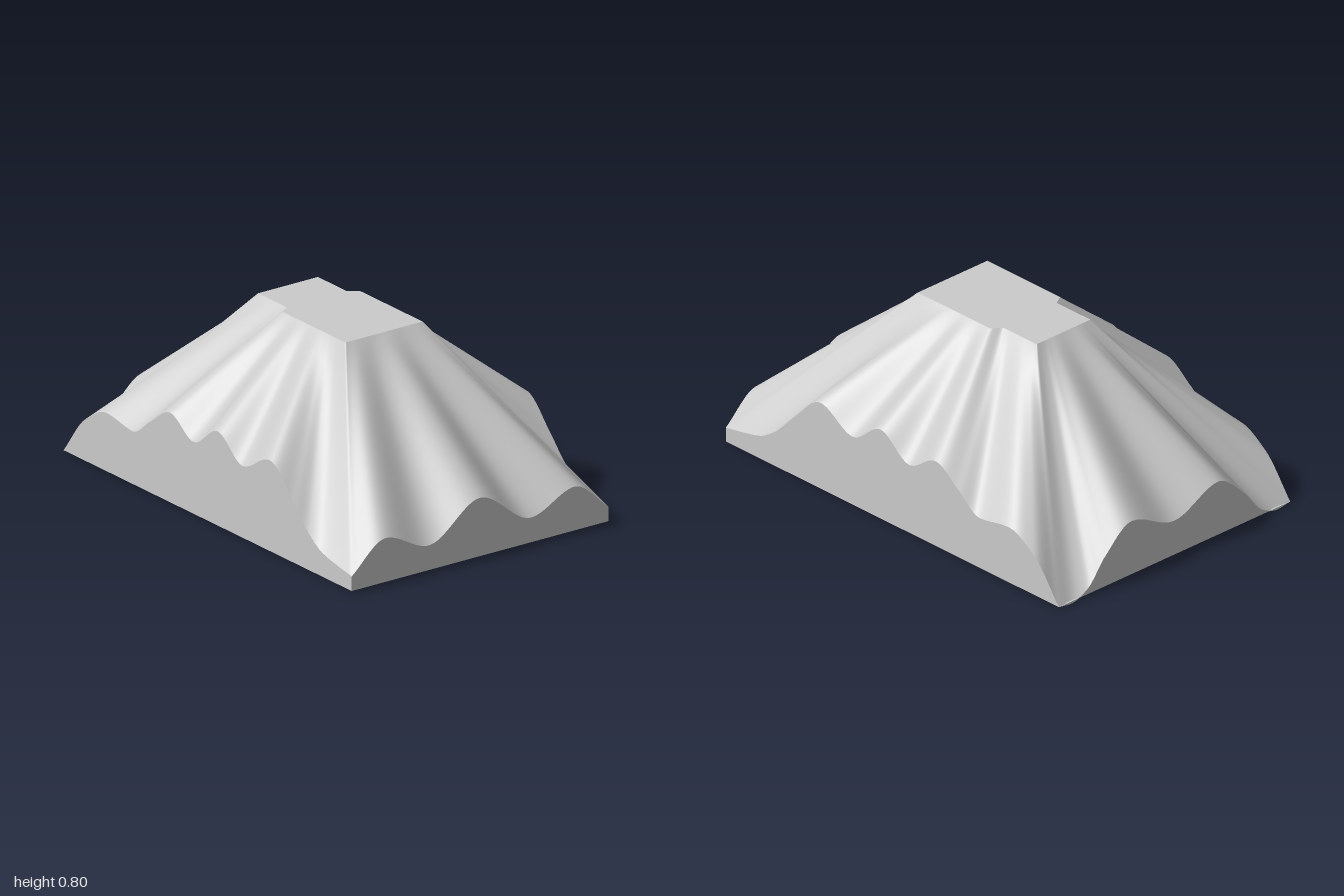
import * as THREE from 'three';

const W = 0.665, D = 1, BASE = 0.01, TOP = 0.8;

// Rim heights as [position, height]
const FRONT = [[0, 0.27], [0.265, 0.12], [0.49, 0.205], [W, 0.075]];
const BACK = [[0, 0.17], [0.25, 0.26], [0.4, 0.15], [0.5, 0.035], [0.59, 0], [W, 0.01]];
const SIDE = [[-1, 0.01], [-0.85, 0.195], [-0.7, 0.27], [-0.52, 0.245], [-0.4, 0.325], [-0.26, 0.41],
  [-0.1, 0.33], [0.07, 0.43], [0.24, 0.33], [0.43, 0.415], [0.6, 0.275], [0.7, 0.175], [0.8, 0.115], [1, 0.075]];

// Smooth curve whose crests and dips lie exactly on the given points
function heightAt(pts, x) {
  const slope = i => (pts[i + 1][1] - pts[i][1]) / (pts[i + 1][0] - pts[i][0]);
  const tangent = i => {
    if (i === 0) return pts[0][0] === 0 ? 0 : slope(0);
    if (i === pts.length - 1) return slope(i - 1);
    const a = slope(i - 1), b = slope(i);
    return a * b <= 0 ? 0 : 2 * a * b / (a + b);
  };
  let i = 0;
  while (i < pts.length - 2 && x > pts[i + 1][0]) i++;
  const h = pts[i + 1][0] - pts[i][0], t = (x - pts[i][0]) / h, s = 1 - t;
  return pts[i][1] * (1 + 2 * t) * s * s + tangent(i) * h * t * s * s
    + pts[i + 1][1] * t * t * (3 - 2 * t) - tangent(i + 1) * h * t * t * s;
}

// Outer rim, counter-clockwise from above, starting at the front right corner
function makeRim() {
  const rim = [], nx = 72, nz = 108;
  const add = (x, y, z) => rim.push(new THREE.Vector3(x, y, z));
  for (let i = 0; i < nx; i++) {
    const x = -W + 2 * W * i / nx;
    add(x, heightAt(FRONT, Math.abs(x)), D);
  }
  for (let i = 0; i < nz; i++) {
    const z = D - 2 * D * i / nz;
    add(W, heightAt(SIDE, z), z);
  }
  for (let i = 0; i < nx; i++) {
    const x = W - 2 * W * i / nx;
    add(x, heightAt(BACK, Math.abs(x)), -D);
  }
  for (let i = 0; i < nz; i++) {
    const z = -D + 2 * D * i / nz;
    add(-W, heightAt(SIDE, z), z);
  }
  return rim;
}

// Surface through closed rings of equal point count
function loft(name, rings, smooth) {
  const n = rings[0].length, index = [];
  for (let r = 0; r < rings.length - 1; r++) {
    for (let i = 0; i < n; i++) {
      const j = (i + 1) % n, a = r * n + i, b = r * n + j;
      index.push(a, b, b + n, a, b + n, a + n);
    }
  }
  let geo = new THREE.BufferGeometry().setFromPoints(rings.flat());
  geo.setIndex(index);
  if (!smooth) geo = geo.toNonIndexed();
  geo.computeVertexNormals();
  const mesh = new THREE.Mesh(geo, new THREE.MeshStandardMaterial({ color: 0xcccccc, side: THREE.DoubleSide }));
  mesh.name = name;
  return mesh;
}

export function createModel() {
  const group = new THREE.Group();
  group.name = 'ridgedHill';

  const rim = makeRim();
  const floor = rim.map(p => new THREE.Vector3(p.x, BASE, p.z));

  // Plateau outline: a third of the footprint, narrower towards the back
  const crest = rim.map(p => {
    const z = p.z / 3;
    const half = THREE.MathUtils.lerp(0.155, 0.2, THREE.MathUtils.smoothstep(z, -0.135, -0.1));
    return new THREE.Vector3(p.x / W * half, TOP, z);
  });

  // Ridged slopes running straight from rim to plateau
  const steps = 20, slopes = [];
  for (let s = 0; s <= steps; s++) {
    slopes.push(rim.map((p, i) => p.clone().lerp(crest[i], s / steps)));
  }

  const point = y => rim.map(() => new THREE.Vector3(0, y, 0));
  group.add(
    loft('slopes', slopes, true),
    loft('plateau', [crest, point(TOP)], false),
    loft('sideWalls', [floor, rim], false),
    loft('underside', [point(BASE), floor], false)
  );
  return group;
}
